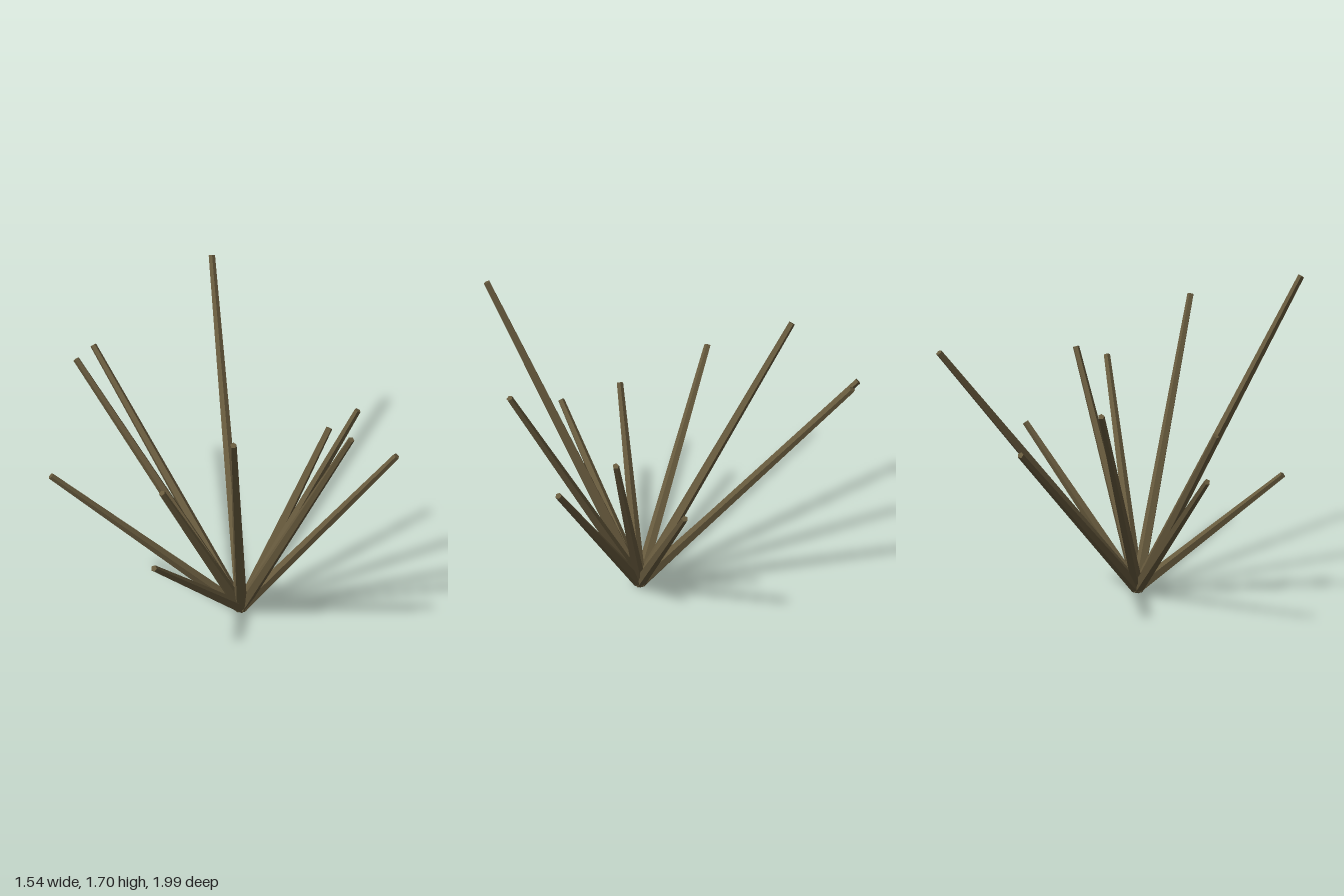
import * as THREE from 'three';

// Cluster of thin tapered twigs fanning out from one root point
export function createModel() {
  const group = new THREE.Group();
  group.name = 'twigCluster';

  const bark = new THREE.MeshStandardMaterial({ color: 0x675a3d });
  bark.name = 'bark';

  const root = new THREE.Vector3(0.1, 0.025, 0.23);

  // Tip centre of each twig
  const tips = [
    [-0.46, 1.695, 0.95],
    [0.292, 1.453, 0.98],
    [0.65, 1.505, -0.82],
    [0.688, 1.21, 0.48],
    [0.717, 1.08, 0.8],
    [0.758, 0.865, 0.118],
    [-0.01, 1.09, -0.985],
    [-0.33, 1.29, -0.69],
    [-0.76, 0.91, -0.318],
    [-0.42, 0.97, 0.232],
    [-0.665, 0.73, 0.503],
  ];

  tips.forEach((tip, i) => {
    const end = new THREE.Vector3(...tip);
    const length = end.distanceTo(root);

    // Five-sided taper along +z, wide at the root, with a ridge along its upper side
    const geometry = new THREE.CylinderGeometry(0.018, 0.034, length, 5).toNonIndexed();
    geometry.translate(0, length / 2, 0);
    geometry.rotateY(Math.PI);
    geometry.rotateX(Math.PI / 2);
    geometry.computeVertexNormals();

    const twig = new THREE.Mesh(geometry, bark);
    twig.name = `twig${i + 1}`;
    twig.position.copy(root);
    twig.lookAt(end);
    group.add(twig);
  });

  return group;
}
